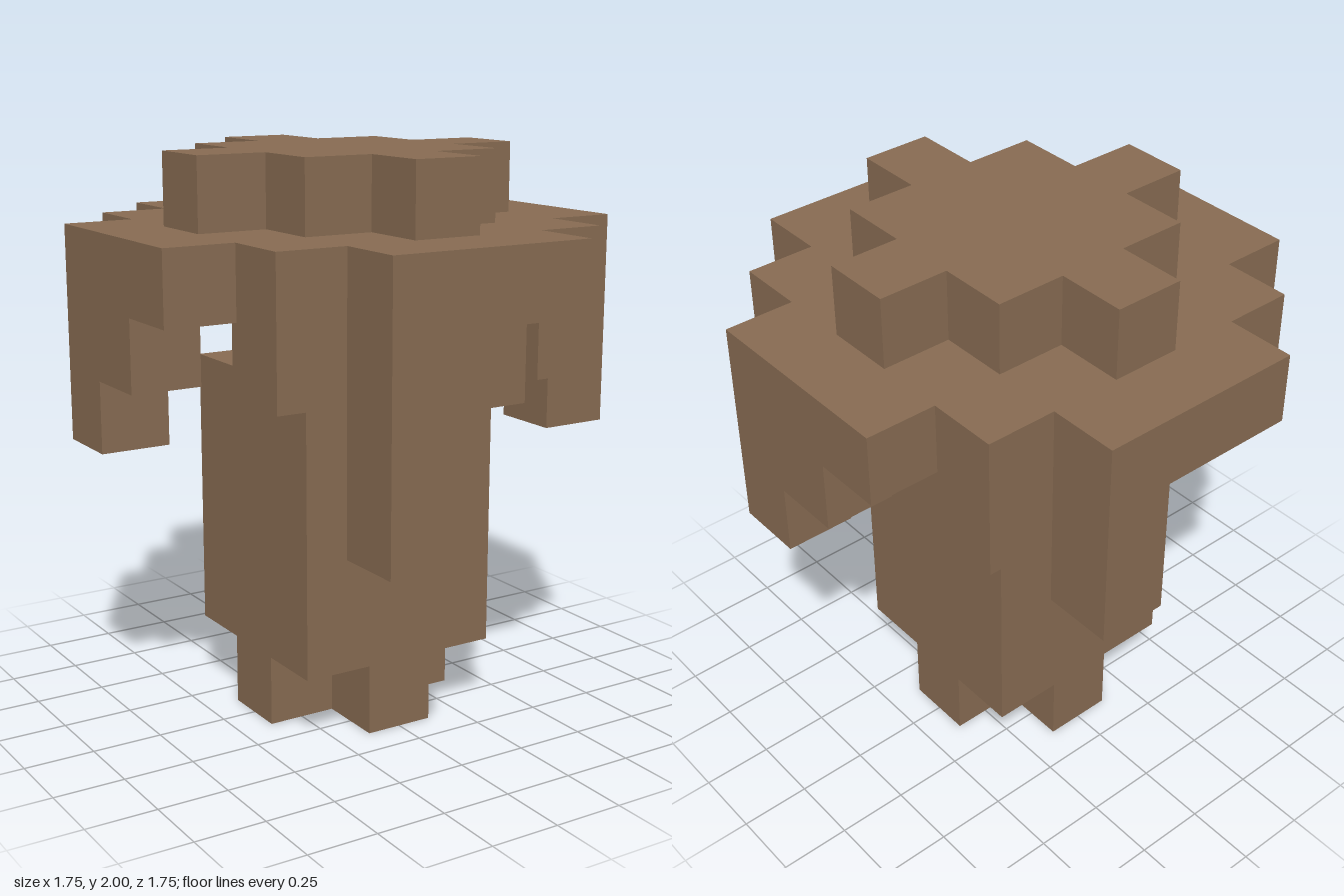
import * as THREE from 'three';

const U = 0.25; // size of one block

export function createModel() {
  const group = new THREE.Group();
  group.name = 'blockyMushroom';
  const brown = new THREE.MeshStandardMaterial({ name: 'mushroomBrown', color: 0x876b52 });

  const add = (name, geometry, parent = group) => {
    const mesh = new THREE.Mesh(geometry, brown);
    mesh.name = name;
    parent.add(mesh);
    return mesh;
  };

  // Horizontal slab: corners of one quarter, repeated by quarter turns, rising from layer y0 to y1
  const slab = (name, quarter, y0, y1) => {
    const points = [];
    for (let turn = 0; turn < 4; turn++) {
      for (const [x, y] of quarter) {
        let p = [x, y];
        for (let i = 0; i < turn; i++) p = [-p[1], p[0]];
        points.push(new THREE.Vector2(p[0] * U, p[1] * U));
      }
    }
    const geometry = new THREE.ExtrudeGeometry(new THREE.Shape(points), {
      depth: (y1 - y0) * U,
      bevelEnabled: false,
    });
    geometry.rotateX(-Math.PI / 2).translate(0, y0 * U, 0);
    add(name, geometry);
  };

  const plus = [[1.5, 0.5], [0.5, 0.5], [0.5, 1.5]];

  // Stem with notched foot and neck
  slab('stemFoot', plus, 0, 1);
  slab('stem', [[1.5, 1.5]], 1, 5);
  slab('stemNeck', plus, 5, 6);

  // Stepped cap
  slab('capBrim', [[3.5, 1.5], [2.5, 1.5], [2.5, 2.5], [1.5, 2.5], [1.5, 3.5]], 6, 7);
  slab('capTop', [[2.5, 0.5], [1.5, 0.5], [1.5, 1.5], [0.5, 1.5], [0.5, 2.5]], 7, 8);

  // Block columns hanging below the brim
  const drip = (name, x, z, length, parent) => {
    const geometry = new THREE.BoxGeometry(U, length * U, U);
    geometry.translate(x * U, (6 - length / 2) * U, z * U);
    add(name, geometry, parent);
  };

  // Hanging edges: lengths from left to right as seen from outside each side
  const sides = [
    ['frontFringe', [3, 1, 0]],
    ['leftFringe', [2, 1, 0]],
    ['backFringe', [2, 0, 0]],
    ['rightFringe', [2, 1, 0]],
  ];
  sides.forEach(([name, lengths], turn) => {
    const side = new THREE.Group();
    side.name = name;
    side.rotation.y = (turn * Math.PI) / 2;
    group.add(side);
    lengths.forEach((length, i) => {
      if (length) drip('fringeBlock', i - 1, 3, length, side);
    });
  });

  // Corner blocks of the fringe
  for (const x of [-2, 2]) for (const z of [-2, 2]) drip('fringeCorner', x, z, 1, group);

  return group;
}
